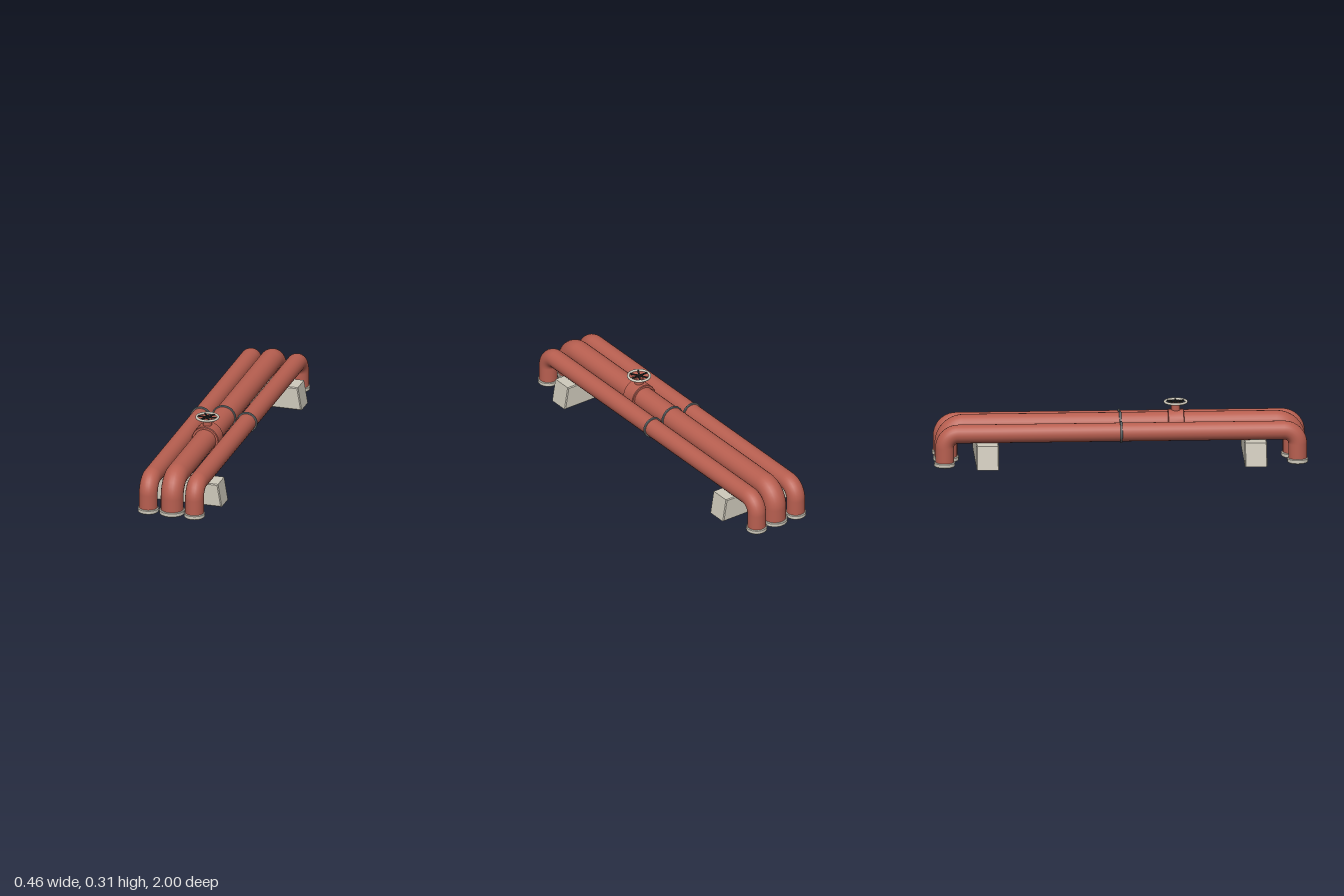
import * as THREE from 'three';
import { toCreasedNormals } from 'three/addons/utils/BufferGeometryUtils.js';

export function createModel() {
  const material = (name, color) => {
    const m = new THREE.MeshStandardMaterial({ color });
    m.name = name;
    return m;
  };
  const red = material('red pipe paint', 0xb85f50);
  const concrete = material('pale concrete', 0xcfcabc);
  const steel = material('grey steel', 0x757d80);
  const dark = material('dark iron', 0x2b2b2b);

  const model = new THREE.Group();
  model.name = 'pipeline';

  const add = (parent, name, geometry, mat, x = 0, y = 0, z = 0) => {
    const mesh = new THREE.Mesh(geometry, mat);
    mesh.name = name;
    mesh.position.set(x, y, z);
    parent.add(mesh);
    return mesh;
  };

  // Closed turned part with chamfered rims, standing on its base
  const turned = (r, h, bevel, sides = 24) => toCreasedNormals(new THREE.LatheGeometry([
    [0, 0], [r - bevel, 0], [r, bevel], [r, h - bevel], [r - bevel, h], [0, h],
  ].map(([a, b]) => new THREE.Vector2(a, b)), sides), 0.5);

  // Pipe run: straight length, elbow and foot at both ends, coupling in the middle
  const addPipe = (name, x, y, r, bend, bendZ, footR, couplingR) => {
    const pipe = new THREE.Group();
    pipe.name = name;
    pipe.position.x = x;
    model.add(pipe);

    const straight = new THREE.CylinderGeometry(r, r, bendZ * 2, 24, 1, true);
    add(pipe, 'straight', straight, red, 0, y).rotation.x = Math.PI / 2;

    const legTop = y - bend;
    for (const s of [1, -1]) {
      const elbow = new THREE.TorusGeometry(bend, r, 24, 10, Math.PI / 2);
      add(pipe, 'elbow', elbow, red, 0, legTop, s * bendZ).rotation.y = -s * Math.PI / 2;
      const legZ = s * (bendZ + bend);
      const leg = new THREE.CylinderGeometry(r, r, legTop - 0.015, 24, 1, true);
      add(pipe, 'leg', leg, red, 0, (legTop + 0.015) / 2, legZ);
      add(pipe, 'footFlange', turned(footR, 0.025, 0.004), concrete, 0, 0, legZ);
    }
    add(pipe, 'coupling', turned(couplingR, 0.012, 0.002, 20), steel, 0, y, -0.006).rotation.x = Math.PI / 2;
  };
  addPipe('centrePipe', 0, 0.19, 0.061, 0.095, 0.836, 0.069, 0.068);
  for (const s of [1, -1]) {
    addPipe(s > 0 ? 'leftPipe' : 'rightPipe', s * 0.129, 0.177, 0.05, 0.073, 0.871, 0.056, 0.058);
  }

  // Valve on the centre pipe
  const valve = new THREE.Group();
  valve.name = 'valve';
  valve.position.z = 0.298;
  model.add(valve);
  add(valve, 'valveBody', turned(0.075, 0.086, 0.003, 20), red, 0, 0.19, -0.043).rotation.x = Math.PI / 2;
  add(valve, 'bonnet', turned(0.024, 0.06, 0.003, 16), red, 0, 0.238);
  add(valve, 'stem', new THREE.CylinderGeometry(0.009, 0.009, 0.025, 12), dark, 0, 0.3025);

  // Handwheel with six spokes
  const rim = new THREE.TorusGeometry(0.058, 0.007, 10, 28).rotateX(Math.PI / 2);
  add(valve, 'handwheelRim', rim, concrete, 0, 0.307);
  for (let i = 0; i < 3; i++) {
    const spoke = new THREE.BoxGeometry(0.112, 0.006, 0.008);
    add(valve, 'spoke', spoke, dark, 0, 0.307).rotation.y = i * Math.PI / 3;
  }

  // Tapered support blocks with softened edges
  const b = 0.005;
  const section = new THREE.Shape([
    [-0.228 + b, b], [0.228 - b, b], [0.208 - b, 0.128 - b], [-0.208 + b, 0.128 - b],
  ].map(([px, py]) => new THREE.Vector2(px, py)));
  for (const s of [1, -1]) {
    const block = new THREE.ExtrudeGeometry(section, {
      depth: 0.12 - 2 * b, bevelSize: b, bevelThickness: b, bevelSegments: 1,
    });
    block.translate(0, 0, -0.06 + b);
    add(model, s > 0 ? 'frontSupport' : 'backSupport', block, concrete, 0, 0, s * 0.717);
  }

  return model;
}
